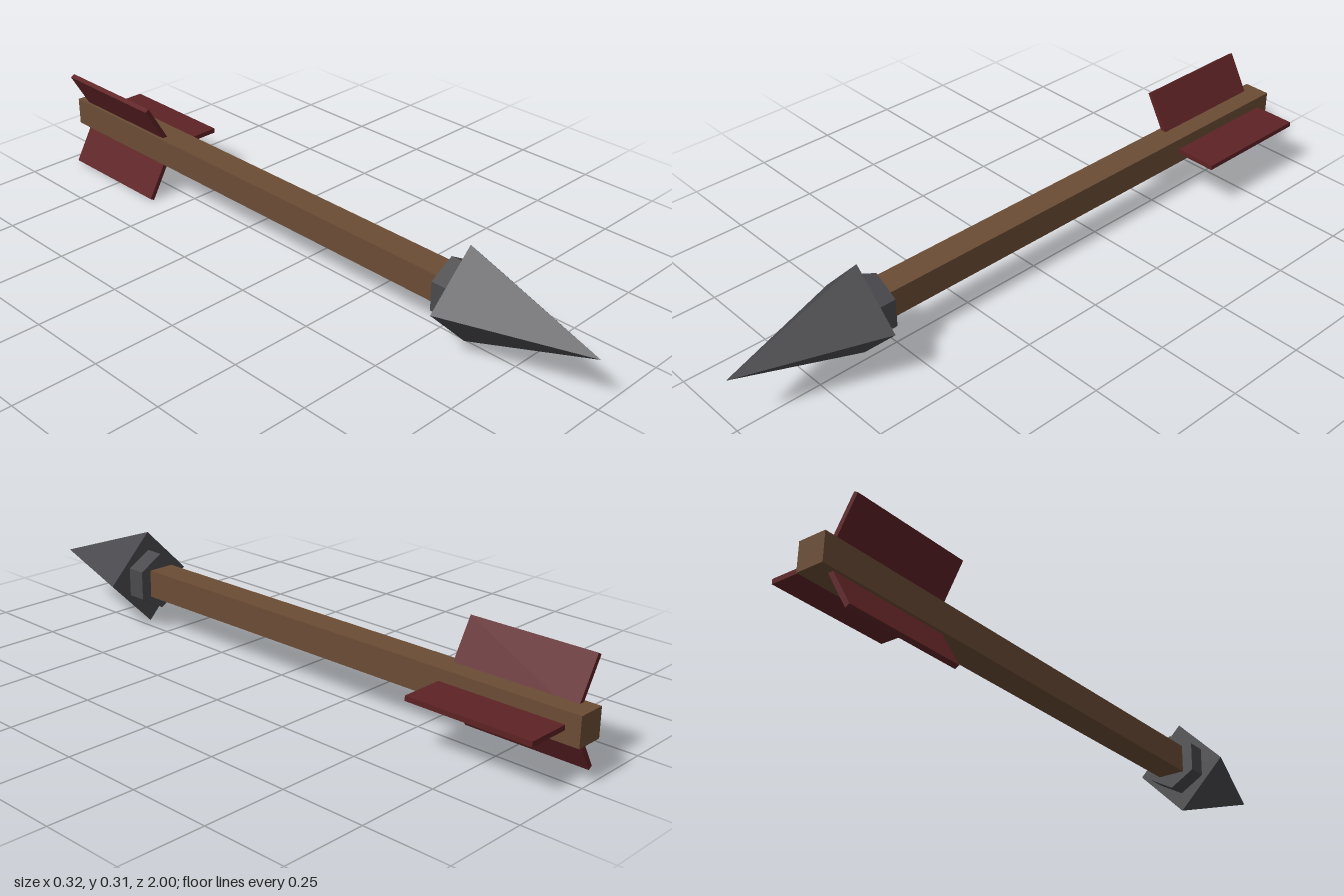
import * as THREE from 'three';

const flat = (name, color) => {
  const m = new THREE.MeshStandardMaterial({ color });
  m.name = name;
  m.flatShading = true;
  return m;
};

export function createModel() {
  const wood = flat('wood', 0x6b4c35);
  const iron = flat('iron', 0x4a4a4e);
  const feather = flat('feather', 0x5e2225);

  const arrow = new THREE.Group();
  arrow.name = 'arrow';
  // everything is built around the shaft axis
  arrow.position.set(-0.0155, 0.155, 0);

  const add = (name, geometry, material) => {
    const mesh = new THREE.Mesh(geometry, material);
    mesh.name = name;
    arrow.add(mesh);
    return mesh;
  };

  // square shaft
  add('shaft', new THREE.BoxGeometry(0.084, 0.084, 1.6).translate(0, 0, -0.2), wood);

  // four-sided point and its six-sided collar
  add('arrowhead', new THREE.ConeGeometry(0.144, 0.405, 4).rotateX(Math.PI / 2).translate(0, 0, 0.7975), iron);
  add('collar', new THREE.CylinderGeometry(0.0865, 0.0865, 0.06, 6).rotateX(Math.PI / 2).translate(0, 0, 0.567), iron);

  // three fletchings spaced evenly round the tail
  for (let i = 0; i < 3; i++) {
    const fin = add('fletching' + (i + 1),
      new THREE.BoxGeometry(0.158, 0.0145, 0.376).translate(0.094, 0, -0.769), feather);
    fin.rotation.z = i * Math.PI * 2 / 3;
  }

  const model = new THREE.Group();
  model.name = 'model';
  model.add(arrow);
  return model;
}
